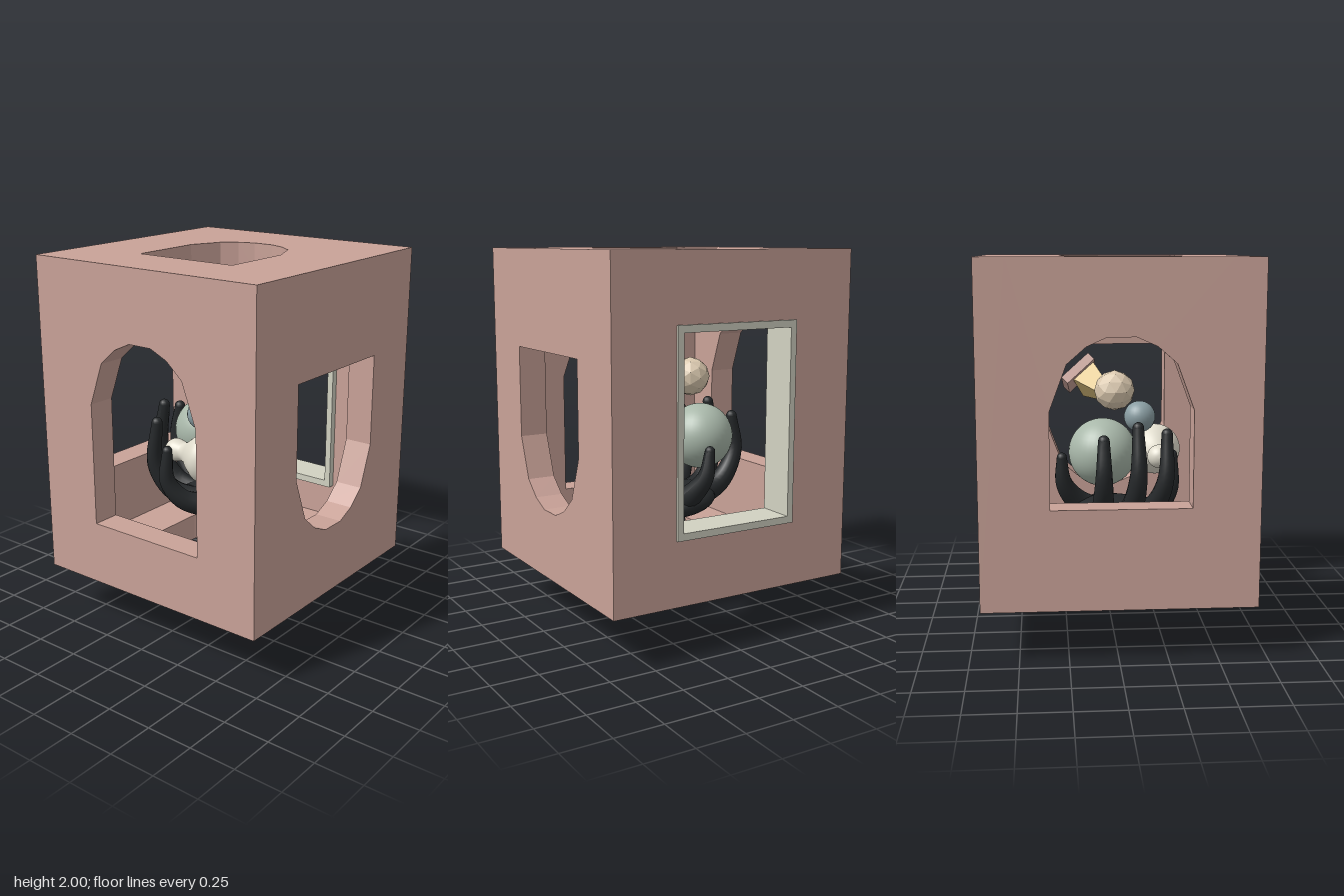
import * as THREE from 'three';

const mat = (color, flat = false) => new THREE.MeshStandardMaterial({ color, flatShading: flat });
const V = (x, y, z) => new THREE.Vector3(x, y, z);

export function createModel() {
  const model = new THREE.Group();
  const add = (name, geometry, material, parent = model) => {
    const mesh = new THREE.Mesh(geometry, material);
    mesh.name = name;
    parent.add(mesh);
    return mesh;
  };
  const pink = mat(0xc9a298, true), cream = mat(0xe0dccd), black = mat(0x25282a);

  // Hollow box of six pierced panels
  const T = 0.15, X = 0.695, Y0 = 0.27, Y1 = 2, Z0 = -0.69, Z1 = 0.7;
  const outline = (x0, y0, x1, y1) => [[x0, y0], [x1, y0], [x1, y1], [x0, y1]];
  const points = (list) => list.map(([x, y]) => new THREE.Vector2(x, y));
  // Arched opening: flat edge at base, straight to spring, polygonal arch to crown
  const arch = (cx, hw, base, spring, crown) => {
    const half = [[1, 0], [0.76, 0.63], [0.49, 0.86], [0.2, 0.985]];
    const curve = [...half, ...half.map(([x, y]) => [-x, y]).reverse()];
    return [[cx - hw, base], [cx + hw, base],
      ...curve.map(([x, y]) => [cx + x * hw, spring + y * (crown - spring)])];
  };
  const pierced = (outer, hole, depth) => {
    const shape = new THREE.Shape(points(outer));
    shape.holes.push(new THREE.Path(points(hole)));
    return new THREE.ExtrudeGeometry(shape, { depth, bevelEnabled: false });
  };
  const box = new THREE.Group();
  box.name = 'box';
  model.add(box);
  const face = outline(-X, Y0, X, Y1);
  const side = outline(-Z1 + T, Y0, -Z0 - T, Y1);
  const lid = outline(-X + T, -Z1 + T, X - T, -Z0 - T);
  const lidHole = arch(0, 0.295, -0.355, 0.05, 0.31);
  const panel = (name, outer, hole, pos, rx = 0, ry = 0) => {
    const p = add(name, pierced(outer, hole, T), pink, box);
    p.position.set(...pos);
    p.rotation.set(rx, ry, 0);
  };
  panel('frontWall', face, arch(0, 0.345, 0.61, 1.27, 1.63), [0, 0, Z1 - T]);
  panel('backWall', face, outline(-0.345, 0.61, 0.345, 1.65), [0, 0, Z0]);
  panel('leftWall', side, arch(-0.01, 0.35, 1.48, 0.99, 0.635), [X - T, 0, 0], 0, Math.PI / 2);
  panel('rightWall', side, arch(-0.01, 0.35, 0.785, 1.27, 1.63), [-X, 0, 0], 0, Math.PI / 2);
  panel('roof', lid, lidHole, [0, Y1 - T, 0], -Math.PI / 2);
  panel('floor', lid, lidHole, [0, Y0, 0], -Math.PI / 2);

  // Rectangular frame lining the back opening
  add('windowFrame', pierced(outline(-0.347, 0.608, 0.347, 1.652),
    outline(-0.313, 0.645, 0.313, 1.615), 0.2), mat(0xd2d2c2, true)).position.z = -0.702;

  // Hand rising on a pointed wrist
  const hand = new THREE.Group();
  hand.name = 'hand';
  model.add(hand);
  const wristProfile = points([[0, 0], [0.12, 0.19], [0.12, 0.2], [0.118, 0.34],
    [0.128, 0.45], [0.14, 0.54], [0.11, 0.63], [0.05, 0.68], [0, 0.69]]);
  const wrist = add('wrist', new THREE.LatheGeometry(wristProfile, 16), black, hand);
  wrist.position.set(0.06, 0, -0.035);
  wrist.scale.z = 1.2;
  const palm = add('palm', new THREE.SphereGeometry(1, 28, 18), black, hand);
  palm.position.set(-0.06, 0.62, 0);
  palm.scale.set(0.23, 0.09, 0.23);
  palm.rotation.z = -0.12;

  // Tapered finger swept along a curve, with a rounded tip
  const finger = (name, path, r0, r1) => {
    const curve = new THREE.CatmullRomCurve3(path.map((p) => V(...p)));
    const rings = 20, sides = 12;
    const geo = new THREE.TubeGeometry(curve, rings, 1, sides);
    const pos = geo.attributes.position, v = V(0, 0, 0);
    for (let i = 0; i < pos.count; i++) {
      const t = Math.floor(i / (sides + 1)) / rings;
      const c = curve.getPointAt(t);
      v.fromBufferAttribute(pos, i).sub(c).multiplyScalar(r0 + (r1 - r0) * t).add(c);
      pos.setXYZ(i, v.x, v.y, v.z);
    }
    geo.computeVertexNormals();
    add(name, geo, black, hand);
    add(name + 'Tip', new THREE.SphereGeometry(r1, 14, 10), black, hand)
      .position.copy(curve.getPointAt(1));
  };
  finger('littleFinger', [[-0.02, 0.61, 0.13], [-0.12, 0.66, 0.25], [-0.18, 0.77, 0.31], [-0.17, 0.95, 0.32]], 0.07, 0.028);
  finger('ringFinger', [[-0.08, 0.61, 0.1], [-0.23, 0.68, 0.21], [-0.3, 0.83, 0.27], [-0.275, 1.08, 0.28]], 0.07, 0.03);
  finger('middleFinger', [[-0.12, 0.61, 0.04], [-0.31, 0.69, 0.09], [-0.39, 0.87, 0.12], [-0.36, 1.13, 0.12]], 0.075, 0.03);
  finger('indexFinger', [[-0.12, 0.62, -0.05], [-0.32, 0.7, -0.06], [-0.42, 0.87, -0.06], [-0.4, 1.07, -0.06]], 0.075, 0.03);
  finger('thumb', [[0, 0.6, -0.08], [-0.05, 0.68, -0.19], [-0.1, 0.79, -0.26], [-0.12, 0.93, -0.27]], 0.08, 0.028);

  // Balls held in the hand
  add('largeBall', new THREE.SphereGeometry(0.18, 36, 24), mat(0xa9b8aa)).position.set(-0.195, 0.975, -0.055);
  add('smallBall', new THREE.SphereGeometry(0.085, 28, 18), mat(0x899da2)).position.set(-0.055, 1.14, 0.155);
  add('facetedBall', new THREE.IcosahedronGeometry(0.107, 1), mat(0xdccab0, true)).position.set(-0.17, 1.3, 0.01);

  // Turned spindle lying along x
  const bead = [[0, -0.228], [0.03, -0.22], [0.055, -0.195], [0.063, -0.165], [0.057, -0.13],
    [0.052, -0.105], [0.065, -0.075], [0.1, -0.03], [0.132, 0.02], [0.14, 0.055], [0.13, 0.095],
    [0.1, 0.14], [0.073, 0.18], [0.07, 0.2], [0.083, 0.23], [0.088, 0.26], [0.078, 0.305],
    [0.05, 0.335], [0, 0.346]];
  const spindle = add('spindle', new THREE.LatheGeometry(
    new THREE.SplineCurve(points(bead)).getPoints(54), 32), cream);
  spindle.rotation.z = -Math.PI / 2;
  spindle.position.set(0, 0.94, 0.25);

  // Four-sided pyramid leaning on its apex
  const apex = V(-0.1, 1.21, 0.06), baseCentre = V(0.165, 1.32, -0.115);
  const axis = apex.clone().sub(baseCentre);
  const corner = V(-0.025, 0.1, 0.027);
  const up = axis.clone().normalize();
  corner.addScaledVector(up, -corner.dot(up)).normalize();
  const pyramid = add('pyramid', new THREE.ConeGeometry(0.106, axis.length(), 4), mat(0xdcc07c, true));
  pyramid.quaternion.setFromRotationMatrix(
    new THREE.Matrix4().makeBasis(up.clone().cross(corner), up, corner));
  pyramid.position.copy(apex).add(baseCentre).multiplyScalar(0.5);

  // Tilted square plate behind the pyramid
  const across = V(0.16, -0.075, 0.015).normalize();
  const normal = V(0.0132, 0.0233, -0.0242);
  normal.addScaledVector(across, -normal.dot(across)).normalize();
  const plate = add('plate', new THREE.BoxGeometry(0.178, 0.05, 0.203), pink);
  plate.quaternion.setFromRotationMatrix(
    new THREE.Matrix4().makeBasis(across, normal, across.clone().cross(normal)));
  plate.position.set(0.174, 1.352, -0.166);

  return model;
}
